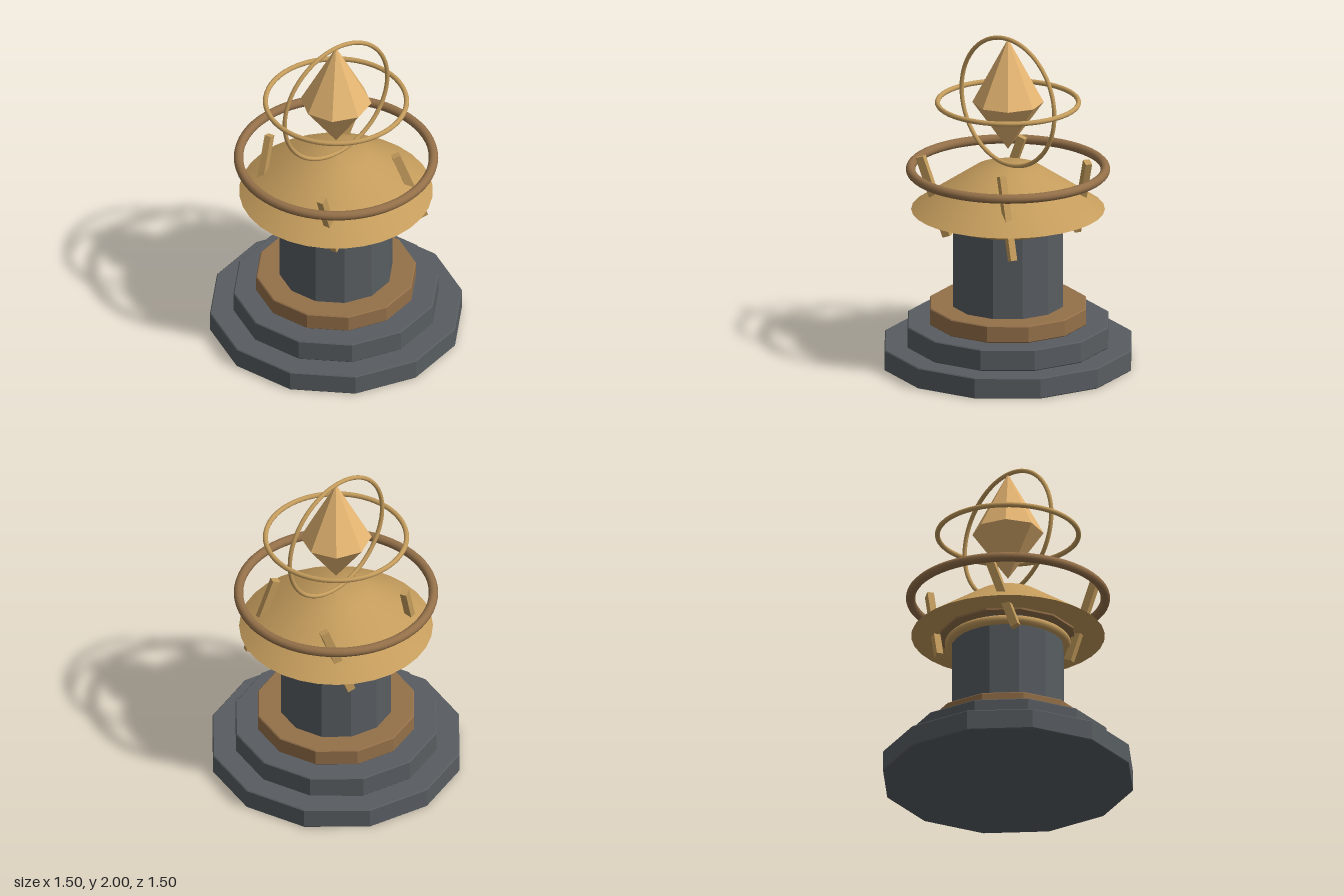
import * as THREE from 'three';

const mat = (color, flatShading) => new THREE.MeshStandardMaterial({ color, flatShading });

export function createModel() {
  const group = new THREE.Group();
  const stone = mat(0x585d61, true);
  const bronze = mat(0x947049, true);
  const bronzeSmooth = mat(0x947049, false);
  const gold = mat(0xc49c5c, true);
  const goldSmooth = mat(0xc49c5c, false);
  const crystalMat = mat(0xe6b672, true);

  const add = (name, geometry, material, y = 0) => {
    const mesh = new THREE.Mesh(geometry, material);
    mesh.name = name;
    mesh.position.y = y;
    group.add(mesh);
    return mesh;
  };
  const lathe = (points, sides) =>
    new THREE.LatheGeometry(points.map(([r, y]) => new THREE.Vector2(r, y)), sides);

  // Twelve-sided disc with a fine bevel on both rims
  const disc = (name, r, y0, y1, material, b = 0.006) =>
    add(name, lathe([[0, y0], [r - b, y0], [r, y0 + b], [r, y1 - b], [r - b, y1], [0, y1]], 12), material);

  // Stepped pedestal and column
  disc('basePlinth', 0.75, 0, 0.127, stone);
  disc('upperPlinth', 0.61, 0.127, 0.258, stone);
  disc('columnCollar', 0.475, 0.258, 0.362, bronze);
  add('column', new THREE.CylinderGeometry(0.335, 0.335, 0.57, 12), stone, 0.645);
  disc('capPlate', 0.405, 0.925, 0.95, bronze, 0.003);

  // Sloping roof: smooth upper shell with a flat underside
  add('roof', lathe([[0.57, 0.94], [0.2, 1.19], [0, 1.197]], 32), goldSmooth);
  add('roofUnderside', new THREE.CircleGeometry(0.57, 32), goldSmooth, 0.94).rotation.x = Math.PI / 2;

  // Rings: name, radius, tube radius, height, material, lies flat
  const rings = [
    ['neckRing', 0.345, 0.027, 0.885, goldSmooth, true],
    ['roofRing', 0.573, 0.028, 1.185, bronzeSmooth, true],
    ['horizontalOrbitRing', 0.415, 0.015, 1.597, goldSmooth, true],
    ['verticalOrbitRing', 0.387, 0.013, 1.6, goldSmooth, false],
  ];
  for (const [name, r, tube, y, material, flat] of rings) {
    const ring = add(name, new THREE.TorusGeometry(r, tube, 12, 64), material, y);
    if (flat) ring.rotation.x = Math.PI / 2;
  }

  // Four slanted struts passing through the roof
  for (const sx of [1, -1]) {
    for (const sz of [1, -1]) {
      const strut = add('strut', new THREE.BoxGeometry(0.05, 0.5, 0.04), gold, 1.018);
      strut.position.x = sx * 0.305;
      strut.position.z = sz * 0.31;
      strut.rotation.set(0, -sx * 0.39, sz * 0.35, 'YXZ');
    }
  }

  // Floating eight-sided crystal
  add('crystal', lathe([[0, 1.31], [0.21, 1.6], [0, 1.99]], 8), crystalMat);

  return group;
}
